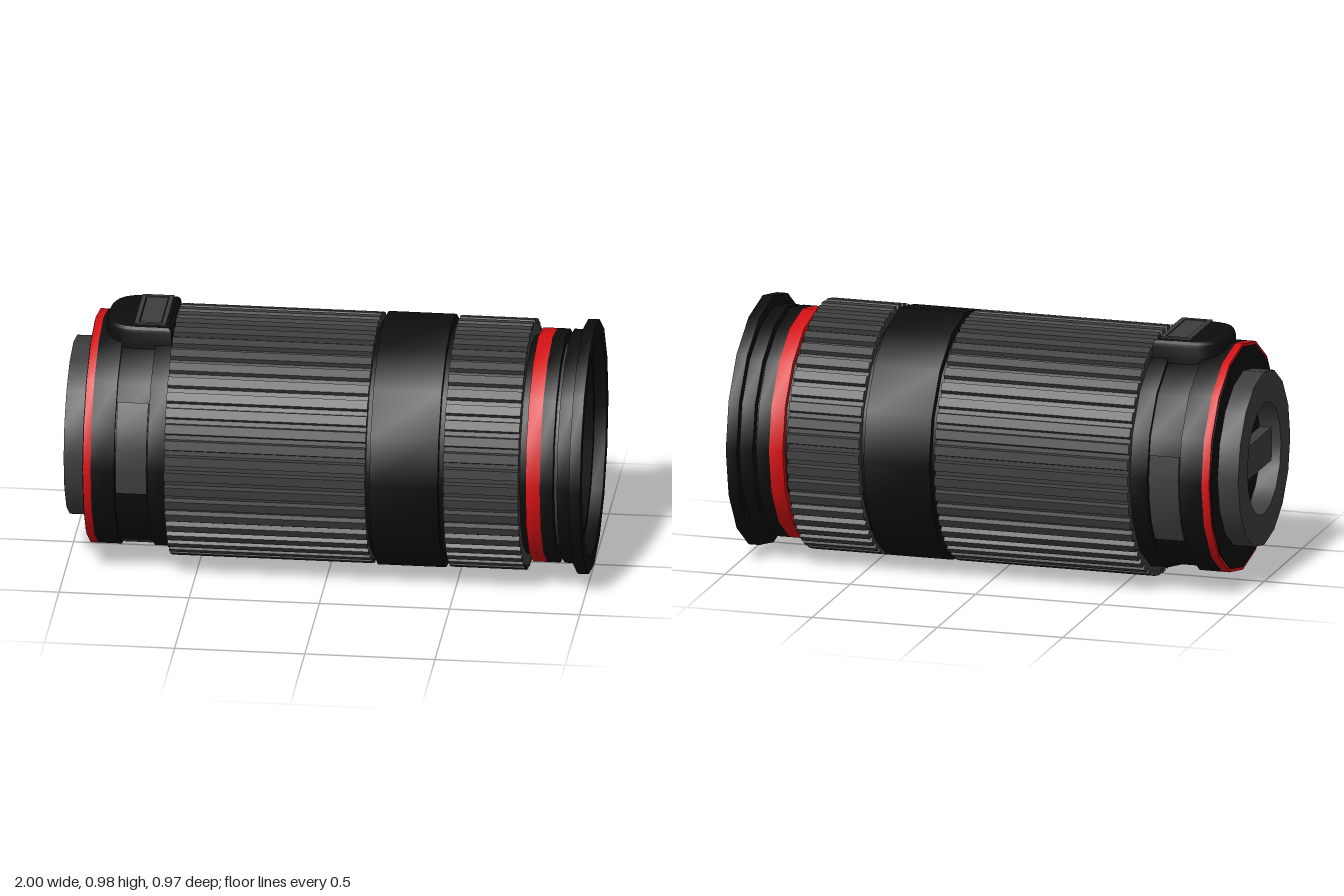
import * as THREE from 'three';
import { toCreasedNormals } from 'three/addons/utils/BufferGeometryUtils.js';

const SIDES = 16;
const AXIS_Y = 0.487;

export function createModel() {
  const model = new THREE.Group();
  model.name = 'zoomLens';
  const barrel = new THREE.Group();
  barrel.name = 'barrel';
  barrel.position.y = AXIS_Y;
  model.add(barrel);

  const paint = (name, color) => {
    const m = new THREE.MeshStandardMaterial({ color });
    m.name = name;
    return m;
  };
  const black = paint('black', 0x0d0d0d);
  const grey = paint('dark grey', 0x3d3d3d);
  const red = paint('red', 0xd31013);

  function add(parent, name, geometry, material) {
    const mesh = new THREE.Mesh(toCreasedNormals(geometry, 0.5), material);
    mesh.name = name;
    parent.add(mesh);
    return mesh;
  }

  // Revolve [radius, x] points around the x axis
  function turn(name, profile, material, start = 0, arc = Math.PI * 2, sides = SIDES) {
    const points = profile.map(([r, x]) => new THREE.Vector2(r, x));
    const geometry = new THREE.LatheGeometry(points, sides, start, arc);
    geometry.rotateZ(-Math.PI / 2);
    return add(barrel, name, geometry, material);
  }

  // Closed ring with a rectangular section
  const ring = (name, inner, outer, x0, x1, material) =>
    turn(name, [[inner, x0], [outer, x0], [outer, x1], [inner, x1], [inner, x0]], material);

  // Toothed grip sleeve running along x
  function grip(name, x0, x1) {
    const teeth = 48;
    const shape = new THREE.Shape();
    const steps = [[0, 0.462], [0.28, 0.462], [0.36, 0.481], [0.92, 0.481]];
    for (let i = 0; i < teeth; i++) {
      for (const [t, r] of steps) {
        const a = ((i + t - 0.64) / teeth) * Math.PI * 2;
        const x = r * Math.cos(a), y = r * Math.sin(a);
        if (i === 0 && t === 0) shape.moveTo(x, y);
        else shape.lineTo(x, y);
      }
    }
    shape.closePath();
    const geometry = new THREE.ExtrudeGeometry(shape, { depth: x1 - x0, bevelEnabled: false });
    geometry.rotateY(Math.PI / 2);
    geometry.translate(x0, 0, 0);
    add(barrel, name, geometry, grey);
  }

  // Rear mount with a slotted recess
  ring('rearMount', 0.22, 0.342, -1, -0.9, grey);
  turn('rearPlate', [[0, -0.918], [0.435, -0.918], [0.435, -0.89], [0, -0.89]], black);
  add(barrel, 'mountBar', new THREE.BoxGeometry(0.045, 0.13, 0.43), grey)
    .position.set(-0.942, 0, 0);
  ring('rearRedRing', 0.4, 0.447, -0.915, -0.885, red);

  // Rear housing with a shallow channel for the side panels
  turn('rearHousing', [[0, -0.885], [0.447, -0.885], [0.447, -0.795], [0.431, -0.795],
    [0.431, -0.668], [0.447, -0.668], [0.447, -0.59], [0, -0.59]], black);
  for (const degrees of [11, -79, -169]) {
    const start = THREE.MathUtils.degToRad(-(degrees + 24));
    turn('sidePanel', [[0.42, -0.79], [0.438, -0.79], [0.438, -0.672], [0.42, -0.672]],
      grey, start, THREE.MathUtils.degToRad(48), 4);
  }

  // Grips, centre band and the dark core showing in the gaps
  grip('mainGrip', -0.6, 0.172);
  turn('core', [[0, 0.1], [0.45, 0.1], [0.45, 0.55], [0, 0.55]], black);
  ring('centreBand', 0.4, 0.484, 0.19, 0.452, black);
  grip('focusGrip', 0.472, 0.76);

  // Front collar and hood
  ring('frontNeck', 0.36, 0.42, 0.74, 0.8, black);
  ring('frontRedRing', 0.38, 0.447, 0.785, 0.84, red);
  ring('frontCollar', 0.36, 0.447, 0.84, 0.89, black);
  ring('collarGroove', 0.38, 0.405, 0.88, 0.91, grey);
  turn('hood', [[0.342, 0.875], [0.38, 0.905], [0.447, 0.905], [0.447, 0.957],
    [0.487, 0.957], [0.487, 1], [0.425, 1], [0.415, 0.955], [0.385, 0.955],
    [0.342, 0.875]], black);
  turn('frontGlass', [[0.35, 0.84], [0.35, 0.88], [0, 0.88]], grey);

  // Raised switch housing on top, rounded towards the rear
  const plan = new THREE.Shape();
  const x0 = -0.84, x1 = -0.63, w = 0.145, c = 0.1;
  plan.moveTo(x1, -w);
  plan.lineTo(x1, w);
  plan.lineTo(x0 + c, w);
  plan.quadraticCurveTo(x0, w, x0, w - c);
  plan.lineTo(x0, c - w);
  plan.quadraticCurveTo(x0, -w, x0 + c, -w);
  plan.closePath();
  const hump = new THREE.ExtrudeGeometry(plan, {
    depth: 0.1, bevelThickness: 0.025, bevelSize: 0.025, bevelSegments: 3, curveSegments: 5,
  });
  hump.rotateX(-Math.PI / 2);
  hump.translate(0, 0.846, 0);
  add(model, 'switchHousing', hump, black);

  // Switch: framed plate on the housing
  const rect = (path, hx, hz) => {
    path.moveTo(-hx, -hz);
    path.lineTo(hx, -hz);
    path.lineTo(hx, hz);
    path.lineTo(-hx, hz);
    path.closePath();
    return path;
  };
  const frame = rect(new THREE.Shape(), 0.061, 0.144);
  frame.holes.push(rect(new THREE.Path(), 0.044, 0.128));
  const frameGeometry = new THREE.ExtrudeGeometry(frame, { depth: 0.008, bevelEnabled: false });
  frameGeometry.rotateX(-Math.PI / 2);
  add(model, 'switchFrame', frameGeometry, grey).position.set(-0.69, 0.97, 0);
  add(model, 'switchPlate', new THREE.BoxGeometry(0.082, 0.006, 0.25), grey)
    .position.set(-0.69, 0.972, 0);

  return model;
}
